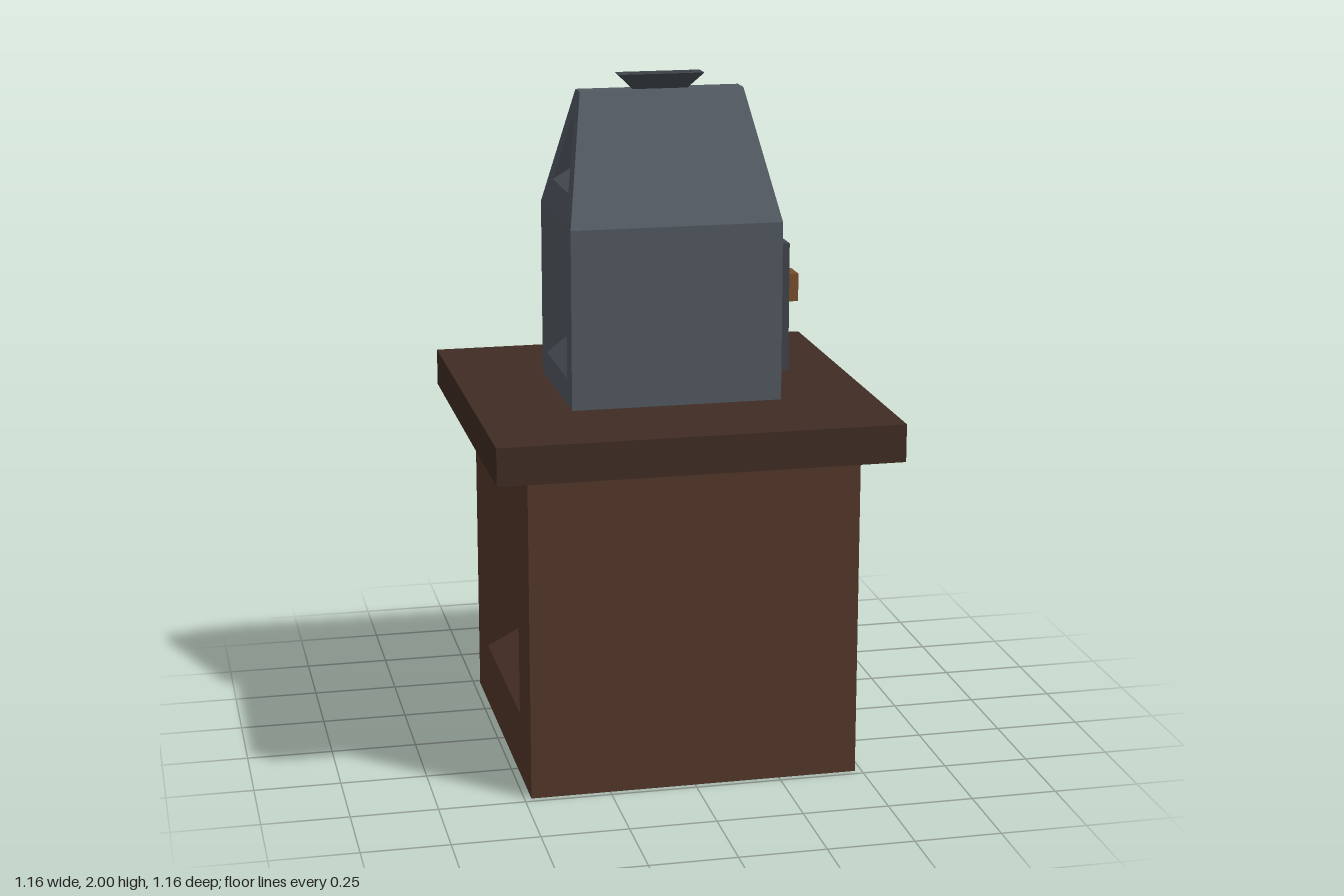
import * as THREE from 'three';

const mat = (color) => new THREE.MeshStandardMaterial({ color, flatShading: true });
const wood = mat(0x54392b), darkWood = mat(0x402d24), steel = mat(0x535a63);
const darkSteel = mat(0x40454a), handleWood = mat(0x7a4f2e);

// Collects quads whose corners run counter-clockwise as seen from outside
function surface() {
  const pos = [];
  const quad = (a, b, c, d) => pos.push(...a, ...b, ...c, ...a, ...c, ...d);
  // Joins successive four-corner rings and closes the last one
  const loft = (rings) => {
    for (let r = 0; r + 1 < rings.length; r++) {
      const A = rings[r], B = rings[r + 1];
      for (let i = 0; i < 4; i++) {
        const j = (i + 1) % 4;
        quad(A[i], A[j], B[j], B[i]);
      }
    }
    quad(...rings[rings.length - 1]);
  };
  const geometry = () => {
    const g = new THREE.BufferGeometry();
    g.setAttribute('position', new THREE.Float32BufferAttribute(pos, 3));
    g.computeVertexNormals();
    return g;
  };
  return { quad, loft, geometry };
}

// Ring facing +x: x, y and half width at the bottom and at the top
const sideRing = (x0, y0, w0, x1, y1, w1) =>
  [[x0, y0, w0], [x0, y0, -w0], [x1, y1, -w1], [x1, y1, w1]];
// Ring facing +y
const flatRing = (y, hx, hz) =>
  [[-hx, y, hz], [hx, y, hz], [hx, y, -hz], [-hx, y, -hz]];
// Half turn about y
const turn = (ring) => ring.map(([x, y, z]) => [-x, y, -z]);

// Front and back walls between two levels
function frontAndBack(s, y0, x0, z0, y1, x1, z1) {
  const wall = [[-x0, y0, z0], [x0, y0, z0], [x1, y1, z1], [-x1, y1, z1]];
  s.quad(...wall);
  s.quad(...turn(wall));
}

export function createModel() {
  const model = new THREE.Group();
  const add = (name, geometry, material, x = 0, y = 0, z = 0) => {
    const m = new THREE.Mesh(geometry, material);
    m.name = name;
    m.position.set(x, y, z);
    model.add(m);
  };

  // Cabinet with a sunken panel on each side
  const cab = surface();
  const C = 0.48, cabTop = 0.97;
  frontAndBack(cab, 0, C, C, cabTop, C, C);
  const cabSide = [
    sideRing(C, 0, C, C, cabTop, C),
    sideRing(C, 0.19, 0.295, C, 0.775, 0.295),
    sideRing(C - 0.09, 0.28, 0.2, C - 0.09, 0.685, 0.2),
  ];
  cab.loft(cabSide);
  cab.loft(cabSide.map(turn));
  cab.quad(...flatRing(0, C, C).reverse());
  add('cabinet', cab.geometry(), wood);

  // Overhanging table top
  add('tableTop', new THREE.BoxGeometry(1.164, 0.11, 1.164), darkWood, 0, 1.018);

  // Stove body: upright walls below a steep hood
  const body = surface();
  const X = 0.308, Z = 0.239, y0 = 1.07, y1 = 1.595, y2 = 1.955, TX = 0.24, TZ = 0.033;
  frontAndBack(body, y0, X, Z, y1, X, Z);
  frontAndBack(body, y1, X, Z, y2, TX, TZ);
  body.quad(...flatRing(y2, TX, TZ));
  const wall = sideRing(X, y0, Z, X, y1, Z);
  body.loft([wall]);
  body.loft([
    wall,
    sideRing(X, 1.15, 0.165, X, 1.51, 0.165),
    sideRing(X - 0.05, 1.21, 0.11, X - 0.05, 1.45, 0.11),
  ].map(turn));

  // Sunken gable panels on the hood ends
  const hoodX = (y) => X + (TX - X) * (y - y1) / (y2 - y1);
  const gable = [
    sideRing(X, y1, Z, TX, y2, TZ),
    sideRing(hoodX(1.68), 1.68, 0.122, hoodX(1.87), 1.87, 0.02),
    sideRing(hoodX(1.735) - 0.05, 1.735, 0.055, hoodX(1.815) - 0.05, 1.815, 0.006),
  ];
  body.loft(gable);
  body.loft(gable.map(turn));
  add('stoveBody', body.geometry(), steel);

  // Flared vent with a hollow mouth
  const vent = surface();
  vent.loft([
    flatRing(y2, 0.08, 0.01), flatRing(2, 0.125, 0.032),
    flatRing(2, 0.095, 0.018), flatRing(1.965, 0.055, 0.007),
  ]);
  add('vent', vent.geometry(), darkSteel);

  // Door and its handle
  add('door', new THREE.BoxGeometry(0.045, 0.375, 0.352), darkSteel, 0.323, 1.332, 0);
  const knob = surface();
  knob.loft([[0.34, 0.03], [0.395, 0.042], [0.44, 0.042]].map(
    ([x, h]) => sideRing(x, -h, h, x, h, h)));
  add('doorHandle', knob.geometry(), handleWood, 0, 1.333, -0.112);

  return model;
}
